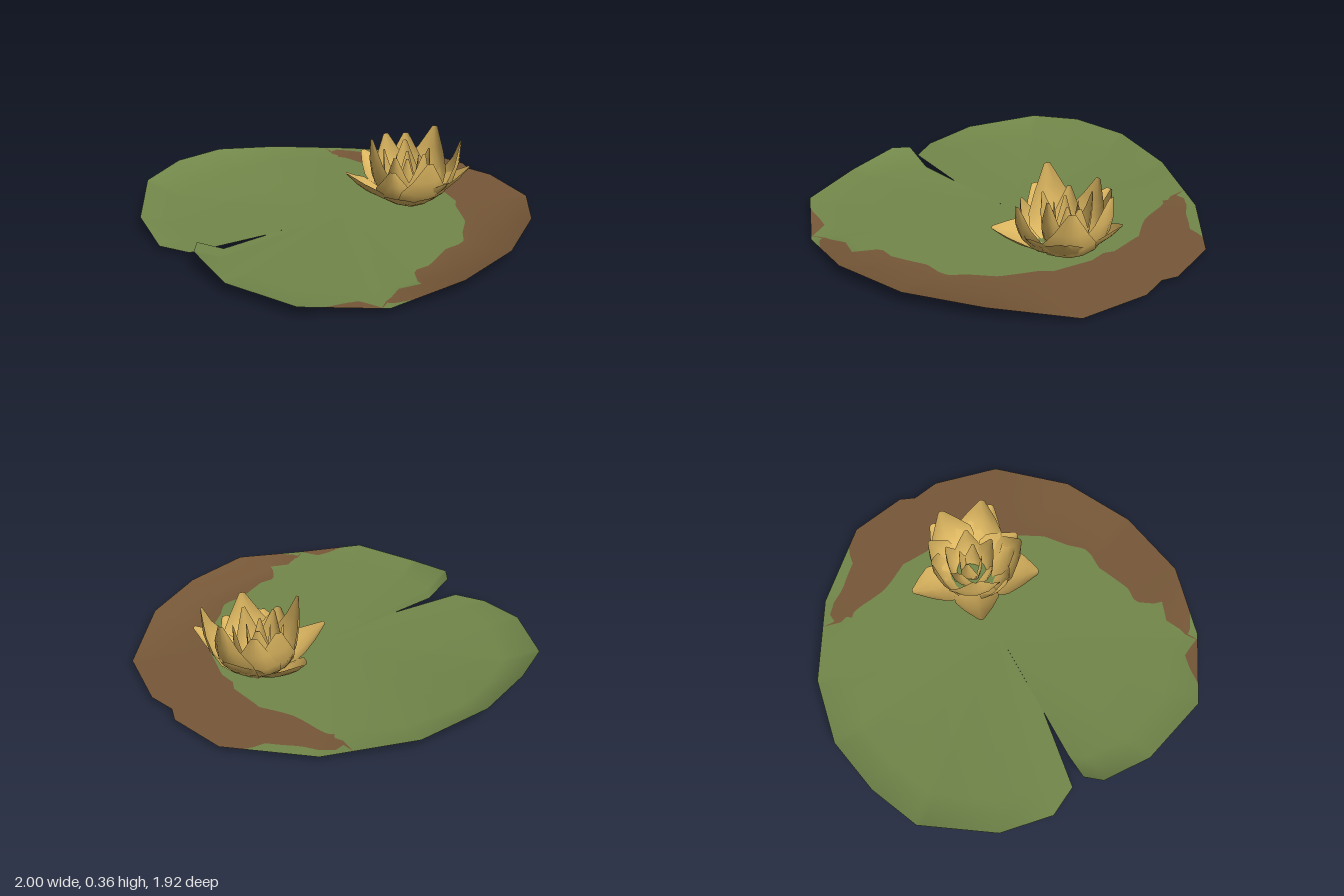
import * as THREE from 'three';
import { mergeVertices } from 'three/addons/utils/BufferGeometryUtils.js';

const mat = (name, color) =>
  new THREE.MeshStandardMaterial({ name, color, side: THREE.DoubleSide });

const FLOOR = 0.025; // height of the flat middle of the pad
const LIP = 0.84;    // fraction of the radius where the rim starts to curl up

// Rim corners [x, height, z], running from one side of the notch to the other
const RIM = [
  [0.02, 0.1, 0.87], [0.1, 0.1, 0.93], [0.37, 0.055, 0.93], [0.73, 0.055, 0.8],
  [0.93, 0.025, 0.47], [1, 0.072, 0.11], [0.92, 0.072, -0.26], [0.73, 0.075, -0.6],
  [0.43, 0.025, -0.89], [0.09, 0.025, -0.96], [-0.05, 0.025, -0.93], [-0.13, 0.025, -0.96],
  [-0.42, 0.025, -0.9], [-0.74, 0.025, -0.59], [-0.95, 0.062, -0.19], [-1, 0.107, 0.16],
  [-0.93, 0.125, 0.46], [-0.81, 0.105, 0.71], [-0.47, 0.065, 0.92], [-0.19, 0.025, 0.96],
  [-0.04, 0.025, 0.88], [0.011, 0.025, 0.48],
];

// Withered area: [angle from the front, inner edge, outer edge] as fractions of the radius
const WITHERED = [
  [0, 1, 1], [48, 1, 1], [52, 0.96, 1], [56.3, 0.935, 1], [60, 0.975, 1], [62, 1, 1],
  [62.5, 0.94, 0.94], [64.5, 0.925, 0.97], [68, 0.867, 0.99], [69.3, 0.87, 1], [75.2, 0.88, 1],
  [77, 0.745, 1], [85, 0.73, 1], [98.6, 0.69, 1], [110, 0.72, 1], [117, 0.685, 1],
  [132, 0.65, 1], [149, 0.6, 1], [175, 0.62, 1], [202, 0.656, 1], [212, 0.68, 1],
  [215.6, 0.69, 0.94], [221, 0.71, 0.94], [226, 0.75, 0.935], [233, 0.82, 0.955],
  [237, 0.89, 0.97], [239.3, 0.91, 0.91], [240, 1, 1], [360, 1, 1],
];

function witheredAt(angle) {
  const i = Math.max(1, WITHERED.findIndex((row) => row[0] >= angle));
  const a = WITHERED[i - 1], b = WITHERED[i];
  const t = (angle - a[0]) / (b[0] - a[0]);
  return [1, 2].map((k) => a[k] + (b[k] - a[k]) * t);
}

// Pad: spokes from the middle to the rim, cut into bands at the lip and colour edges
function buildPad(materials) {
  const STEPS = 12, spokes = [];
  RIM.forEach((p, i) => {
    const q = RIM[i + 1];
    for (let k = 0; k < (q ? STEPS : 1); k++) {
      const [x, h, z] = q ? p.map((v, j) => v + ((q[j] - v) * k) / STEPS) : p;
      const angle = (THREE.MathUtils.radToDeg(Math.atan2(x, z)) + 360) % 360;
      const [inner, outer] = i < 19 ? witheredAt(angle) : [1, 1];
      const cuts = [0, LIP, inner, outer, 1].sort((a, b) => a - b);
      const points = cuts.map((s) => new THREE.Vector3(
        x * s, FLOOR + (h - FLOOR) * Math.max(0, (s - LIP) / (1 - LIP)), z * s));
      spokes.push({ inner, outer, cuts, points });
    }
  });

  const faces = [[], []]; // fresh, withered
  const isBrown = (s, k) => {
    const mid = (s.cuts[k] + s.cuts[k + 1]) / 2;
    return s.cuts[k + 1] - s.cuts[k] > 1e-4 && mid > s.inner && mid < s.outer;
  };
  const tri = new THREE.Triangle();
  for (let i = 0; i + 1 < spokes.length; i++) {
    const A = spokes[i], B = spokes[i + 1];
    for (let k = 0; k < 4; k++) {
      const list = faces[isBrown(A, k) || isBrown(B, k) ? 1 : 0];
      const a = A.points[k], b = A.points[k + 1], c = B.points[k + 1], d = B.points[k];
      for (const t of [[a, b, c], [a, c, d]]) {
        if (tri.set(...t).getArea() > 1e-7) list.push(...t);
      }
    }
  }
  const raw = new THREE.BufferGeometry().setFromPoints([...faces[0], ...faces[1]]);
  const geo = mergeVertices(raw, 1e-5);
  geo.addGroup(0, faces[0].length, 0);
  geo.addGroup(faces[0].length, faces[1].length, 1);
  geo.computeVertexNormals();
  const pad = new THREE.Mesh(geo, materials);
  pad.name = 'lilyPad';
  return pad;
}

// Petal: a cupped, pointed sheet swept along an upward curve, leaning toward +z
function petalGeometry(reach, height, halfWidth, upright) {
  const curve = new THREE.QuadraticBezierCurve(
    new THREE.Vector2(0.03, 0.003),
    new THREE.Vector2(reach * (upright ? 1.05 : 0.6), upright ? 0.0 : 0.015),
    new THREE.Vector2(reach, height));
  const WIDTHS = [0.3, 0.72, 0.97, 0.95, 0.6, 0.12];
  const rows = WIDTHS.length, cols = 5, pos = [], index = [];
  WIDTHS.forEach((w, r) => {
    const t = r / (rows - 1);
    const p = curve.getPoint(t), n = curve.getTangent(t);
    for (let c = 0; c < cols; c++) {
      const u = (c / (cols - 1)) * 2 - 1;
      const cup = 0.4 * halfWidth * w * u * u * Math.min(1, t * 2);
      pos.push(u * w * halfWidth, p.y + n.x * cup, p.x - n.y * cup);
      if (r && c) {
        const d = r * cols + c, b = d - cols;
        index.push(b - 1, b, d, b - 1, d, d - 1);
      }
    }
  });
  const geo = new THREE.BufferGeometry();
  geo.setAttribute('position', new THREE.Float32BufferAttribute(pos, 3));
  geo.setIndex(index);
  geo.computeVertexNormals();
  return geo;
}

// Each petal: [angle from the front, reach, height, half width]
const LAYERS = {
  outerPetal: [
    [-85, 0.35, 0.185, 0.12], [-17, 0.345, 0.19, 0.12], [55, 0.36, 0.13, 0.14],
    [95, 0.29, 0.17, 0.12], [134, 0.33, 0.2, 0.12], [200, 0.29, 0.19, 0.13],
  ],
  cupPetal: [
    [-17, 0.21, 0.365, 0.14], [30, 0.23, 0.23, 0.12], [75, 0.27, 0.29, 0.13],
    [140, 0.28, 0.33, 0.13], [192, 0.25, 0.35, 0.14], [232, 0.22, 0.3, 0.12],
    [265, 0.21, 0.31, 0.13],
  ],
  innerPetal: [0, 1, 2, 3, 4].map((i) => [20 + i * 72, 0.13, 0.27 + 0.02 * (i % 2), 0.085]),
  corePetal: [0, 1, 2, 3].map((i) => [50 + i * 90, 0.06, 0.25, 0.05]),
};

function buildFlower(material) {
  const flower = new THREE.Group();
  flower.name = 'flower';
  for (const [name, petals] of Object.entries(LAYERS)) {
    for (const [angle, reach, height, halfWidth] of petals) {
      const petal = new THREE.Mesh(
        petalGeometry(reach, height, halfWidth, name !== 'outerPetal'), material);
      petal.name = name;
      petal.rotation.y = THREE.MathUtils.degToRad(angle);
      flower.add(petal);
    }
  }
  flower.position.set(0.03, 0, -0.39);
  return flower;
}

export function createModel() {
  const model = new THREE.Group();
  model.name = 'waterLily';
  model.add(
    buildPad([mat('leafGreen', 0x72874a), mat('witheredBrown', 0x775838)]),
    buildFlower(mat('petalYellow', 0xdcb660)));
  return model;
}
